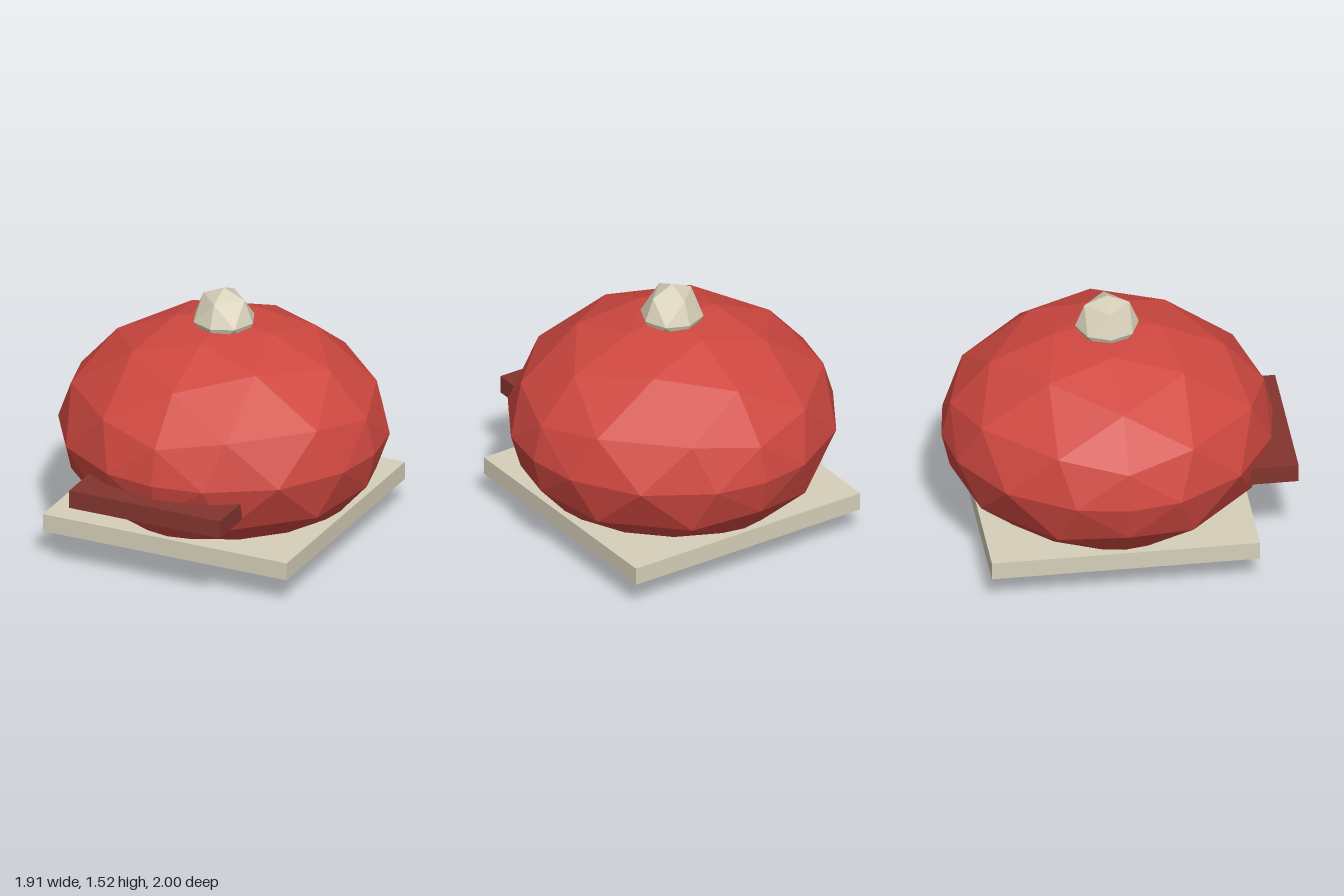
import * as THREE from 'three';

const flat = (name, color) => {
  const m = new THREE.MeshStandardMaterial({ color, flatShading: true });
  m.name = name;
  return m;
};

export function createModel() {
  const red = flat('red', 0xcf4840);
  const darkRed = flat('darkRed', 0x83352f);
  const cream = flat('cream', 0xd6cfb9);
  const model = new THREE.Group();
  const axisZ = -0.04; // shared centre line of dome, base and knob

  const add = (name, geometry, material, x, y, z) => {
    const mesh = new THREE.Mesh(geometry, material);
    mesh.name = name;
    mesh.position.set(x, y, z);
    model.add(mesh);
  };

  // Faceted ball, squashed vertically
  const ball = (rx, ry, detail) => {
    const g = new THREE.OctahedronGeometry(1, detail).scale(rx, ry, rx);
    g.computeVertexNormals();
    return g;
  };

  // Main rounded body and the knob on its crown
  add('body', ball(0.957, 0.665, 3), red, 0, 0.665, axisZ);
  add('knob', ball(0.184, 0.19, 1), cream, 0, 1.335, axisZ);

  // Square base plate pierced by the body
  add('basePlate', new THREE.BoxGeometry(1.55, 0.107, 1.55), cream, 0, 0.21, axisZ);

  // Front brim, its back end buried in the body
  add('brim', new THREE.BoxGeometry(0.96, 0.107, 0.5), darkRed, 0, 0.525, 0.75);

  return model;
}
